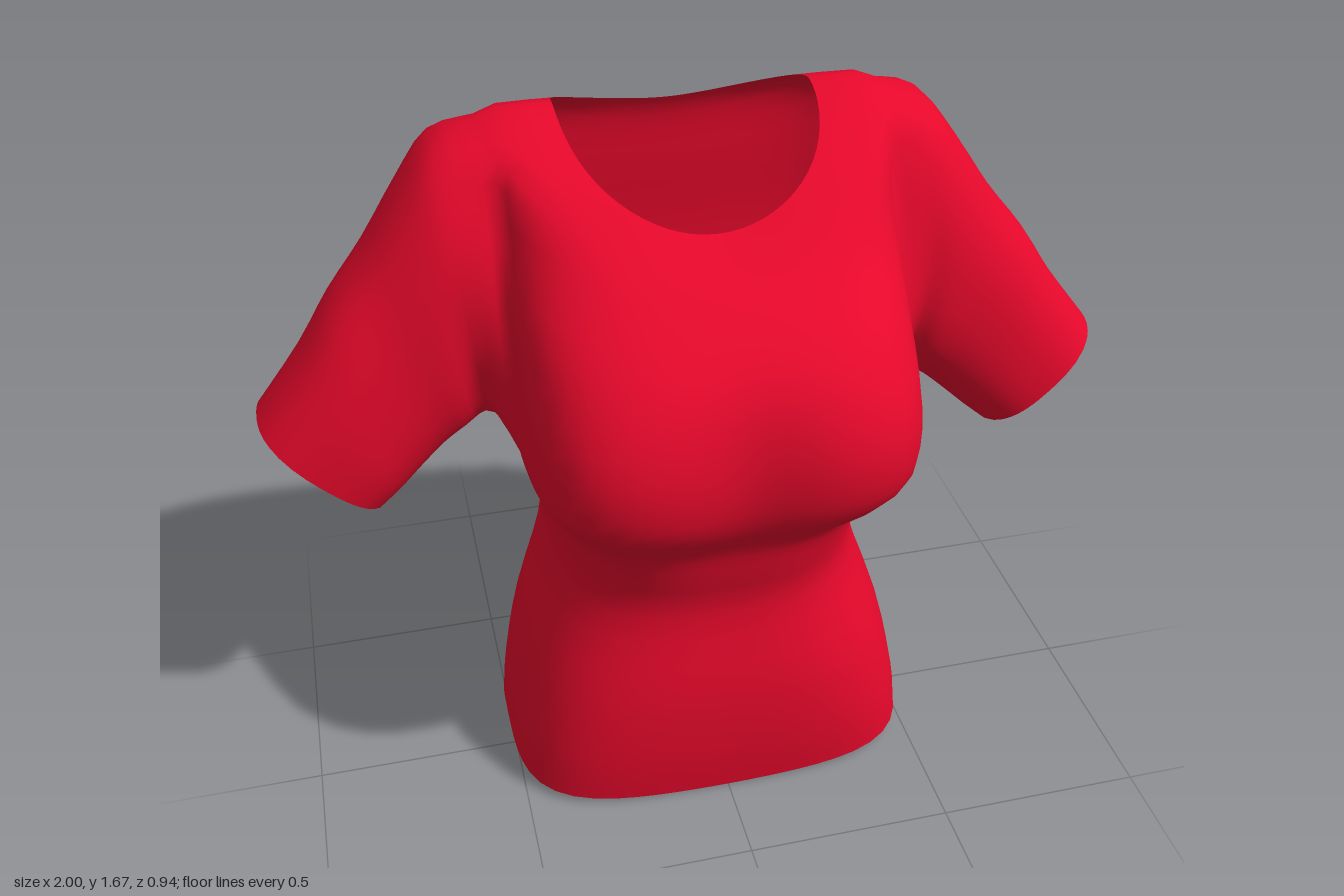
import * as THREE from 'three';

const COLS = 72, STEPS = 3;

// Torso sections, hem to neckline: y front, y side, y back, half width,
// z front, z side, z back, front squareness, back squareness, centre dent
const TORSO = [
  [0.00, 0.05, 0.03, 0.51, 0.275, -0.12, -0.44, 4.2, 2.2, 0],
  [0.15, 0.17, 0.15, 0.495, 0.295, -0.12, -0.47, 3.8, 2.2, 0],
  [0.35, 0.36, 0.35, 0.455, 0.30, -0.12, -0.435, 3.2, 2.3, 0],
  [0.57, 0.57, 0.57, 0.385, 0.275, -0.13, -0.41, 2.8, 2.4, 0],
  [0.70, 0.70, 0.70, 0.372, 0.305, -0.13, -0.41, 2.8, 2.5, 0],
  [0.80, 0.80, 0.80, 0.385, 0.335, -0.13, -0.42, 3.2, 2.7, 0],
  [0.88, 0.89, 0.88, 0.41, 0.41, -0.13, -0.425, 4, 3.2, 0.02],
  [0.97, 0.975, 0.97, 0.44, 0.46, -0.13, -0.43, 4.6, 4, 0.035],
  [1.10, 1.12, 1.10, 0.44, 0.47, -0.13, -0.43, 4.6, 6, 0.035],
  [1.24, 1.28, 1.25, 0.44, 0.425, -0.14, -0.42, 3.4, 8, 0.015],
  [1.35, 1.47, 1.40, 0.45, 0.325, -0.16, -0.40, 2.2, 7, 0],
  [1.43, 1.655, 1.53, 0.45, 0.21, -0.18, -0.385, 1.95, 4, 0],
  [1.48, 1.672, 1.585, 0.285, 0.13, -0.18, -0.36, 2.5, 2.5, 0],
];
const HOLE = { bottom: 7 * STEPS, top: 11 * STEPS, back: -9, front: 4 };

// Sleeve sections, shoulder to cuff: top x, top y, bottom x, bottom y, z front, z back
const SLEEVE = [
  [0.55, 1.617, 0.49, 0.96, 0.025, -0.395],
  [0.63, 1.52, 0.535, 0.935, 0.025, -0.373],
  [0.72, 1.39, 0.59, 0.90, 0.02, -0.345],
  [0.81, 1.28, 0.65, 0.85, 0.025, -0.32],
  [0.89, 1.16, 0.70, 0.805, 0.03, -0.305],
  [1.00, 1.02, 0.74, 0.77, 0.025, -0.295],
];

// Smoothly subdivide a list of sections
function refine(keys, steps) {
  const rows = [], last = keys.length - 1;
  for (let i = 0; i < last; i++) {
    for (let k = 0; k < steps; k++) {
      const t = k / steps;
      rows.push(keys[i].map((b, c) => {
        const a = keys[Math.max(i - 1, 0)][c], d = keys[i + 1][c];
        const e = keys[Math.min(i + 2, last)][c];
        const m0 = (d - a) / 2, m1 = (e - b) / 2, t2 = t * t, t3 = t2 * t;
        return b * (2 * t3 - 3 * t2 + 1) + m0 * (t3 - 2 * t2 + t) + d * (3 * t2 - 2 * t3) + m1 * (t3 - t2);
      }));
    }
  }
  rows.push(keys[last]);
  return rows;
}

// Radius of a rounded square with the given squareness
const radius = (c, s, n) => Math.pow(Math.abs(c) ** n + Math.abs(s) ** n, -1 / n);

function torsoPoint([yF, yS, yB, w, zF, zS, zB, nF, nB, dent], j) {
  const a = (j / COLS) * Math.PI * 2, c = Math.cos(a), s = Math.sin(a);
  const front = s > 0;
  const r = radius(c, s, front ? nF : nB);
  const x = w * c * r;
  let z = zS + Math.abs((front ? zF : zB) - zS) * s * r;
  if (front) z -= dent * Math.exp(-((x / 0.13) ** 2)) * s;
  const y = yS + ((front ? yF : yB) - yS) * Math.abs(s) ** 1.6;
  return [x, y, z];
}

function sleevePoint([tx, ty, bx, by, zF, zB], phi) {
  const u = Math.sin(phi), v = Math.cos(phi), r = radius(u, v, 2.5);
  return [
    (tx + bx) / 2 + ((tx - bx) / 2) * u * r,
    (ty + by) / 2 + ((ty - by) / 2) * u * r,
    (zF + zB) / 2 + ((zF - zB) / 2) * v * r,
  ];
}

function shirtGeometry() {
  const pos = [], index = [];
  const quad = (a, up, next, upNext, flip) => {
    if (flip) index.push(a, next, up, up, next, upNext);
    else index.push(a, up, next, next, up, upNext);
  };
  const id = (row, j) => row * COLS + ((j + COLS) % COLS);

  // Torso skin, leaving an armhole on each side
  const rows = refine(TORSO, STEPS);
  rows.forEach((row) => {
    for (let j = 0; j < COLS; j++) pos.push(...torsoPoint(row, j));
  });
  const inHole = (i, j) => {
    if (i < HOLE.bottom || i >= HOLE.top) return false;
    const left = j >= COLS / 2 + 18 ? j - COLS : j;
    const right = COLS / 2 - 1 - j;
    return [left, right].some((k) => k >= HOLE.back && k < HOLE.front);
  };
  for (let i = 0; i < rows.length - 1; i++) {
    for (let j = 0; j < COLS; j++) {
      if (!inHole(i, j)) quad(id(i, j), id(i + 1, j), id(i, j + 1), id(i + 1, j + 1), false);
    }
  }

  // Armhole outline as grid cells: bottom, front, top, back
  const loop = [];
  for (let j = HOLE.back; j < HOLE.front; j++) loop.push([HOLE.bottom, j]);
  for (let i = HOLE.bottom; i < HOLE.top; i++) loop.push([i, HOLE.front]);
  for (let j = HOLE.front; j > HOLE.back; j--) loop.push([HOLE.top, j]);
  for (let i = HOLE.top; i > HOLE.bottom; i--) loop.push([i, HOLE.back]);

  // Sleeve lines, each running from the armhole outline to the cuff
  const lines = loop.map(([i, j]) => {
    const start = torsoPoint(rows[i], j);
    const phi = Math.atan2((start[1] - 1.29) / 0.33, (start[2] + 0.17) / 0.2);
    return refine([start, ...SLEEVE.map((section) => sleevePoint(section, phi))], STEPS);
  });
  for (const side of [1, -1]) {
    let previous = loop.map(([i, j]) => id(i, side > 0 ? j : COLS / 2 - j));
    for (let s = 1; s < lines[0].length; s++) {
      const ring = lines.map((line) => {
        const [x, y, z] = line[s];
        pos.push(x * side, y, z);
        return pos.length / 3 - 1;
      });
      ring.forEach((v, k) => {
        const n = (k + 1) % ring.length;
        quad(previous[k], v, previous[n], ring[n], side < 0);
      });
      previous = ring;
    }
  }

  const geometry = new THREE.BufferGeometry();
  geometry.setAttribute('position', new THREE.Float32BufferAttribute(pos, 3));
  geometry.setIndex(index);
  geometry.computeVertexNormals();
  return geometry;
}

export function createModel() {
  const group = new THREE.Group();
  group.name = 'shortSleevedTop';
  const material = new THREE.MeshStandardMaterial({ color: 0xe6082b, side: THREE.DoubleSide });
  const shirt = new THREE.Mesh(shirtGeometry(), material);
  shirt.name = 'shirtBodyAndSleeves';
  group.add(shirt);
  return group;
}
